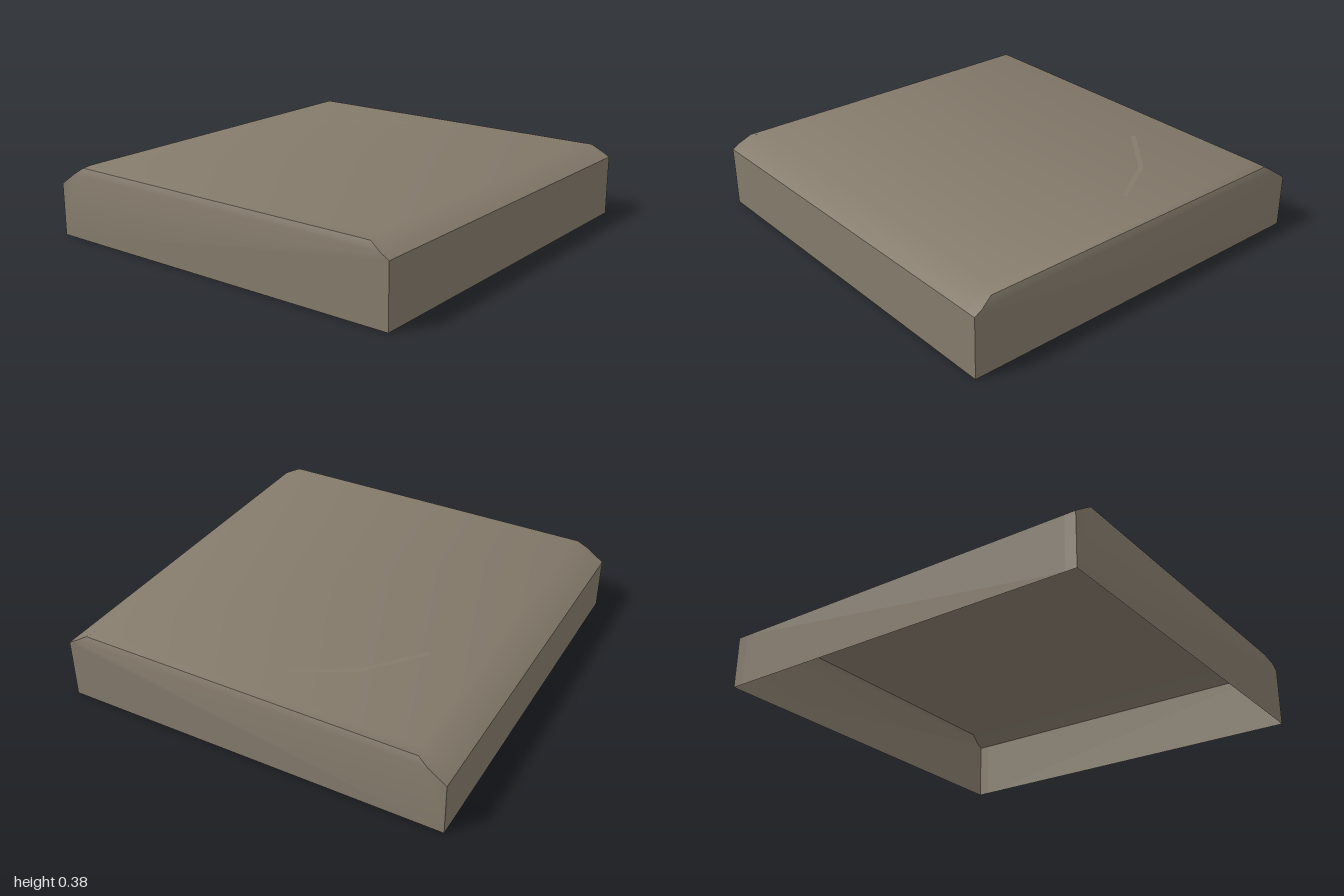
import * as THREE from 'three';
import { toCreasedNormals } from 'three/addons/utils/BufferGeometryUtils.js';

const stone = new THREE.MeshStandardMaterial({ color: 0x857b6c, side: THREE.DoubleSide });
stone.name = 'stone';

// Cross-section at depth z: two end slopes cut off by a flat top at height y
function section(z, y) {
  const left = -1 + (y - 0.27) * (0.16 / 0.11);
  const right = 1 - (y - 0.31) * (0.12 / 0.07);
  return [[-1, 0, z], [-1, 0.27, z], [left, y, z], [right, y, z], [1, 0.31, z], [1, 0, z]];
}

// Hollow slab, open underneath, with chipped front and back rims
function slabGeometry() {
  const rows = [[1, 0.335], [0.985, 0.37], [0.945, 0.38], [-0.94, 0.38], [-0.985, 0.368], [-1, 0.332]]
    .map(([z, y]) => section(z, y));
  const pos = [];
  const tri = (a, b, c) => pos.push(...a, ...b, ...c);
  const quad = (a, b, c, d) => { tri(a, b, c); tri(a, c, d); };

  // Side walls, end slopes and top
  for (let r = 0; r < rows.length - 1; r++) {
    for (let i = 0; i < 5; i++) {
      const a = rows[r][i], b = rows[r][i + 1], c = rows[r + 1][i + 1], d = rows[r + 1][i];
      quad(a, b, c, d);
    }
  }
  // Front and back walls
  const f = rows[0], k = rows[rows.length - 1];
  for (let i = 1; i < 5; i++) {
    tri(f[0], f[i + 1], f[i]);
    tri(k[0], k[i], k[i + 1]);
  }
  const geo = new THREE.BufferGeometry();
  geo.setAttribute('position', new THREE.Float32BufferAttribute(pos, 3));
  return toCreasedNormals(geo, 0.72);
}

// Narrow bent scratch lying on the top
function scratchGeometry() {
  const s = new THREE.Shape([
    [-0.605, 0.345], [-0.585, 0.33], [-0.365, 0.595], [-0.09, 0.755],
    [-0.1, 0.775], [-0.38, 0.615],
  ].map(([x, y]) => new THREE.Vector2(x, y)));
  return new THREE.ShapeGeometry(s).rotateX(-Math.PI / 2).translate(0, 0.381, 0);
}

export function createModel() {
  const group = new THREE.Group();
  group.name = 'stoneSlab';
  const add = (name, geo) => {
    const mesh = new THREE.Mesh(geo, stone);
    mesh.name = name;
    group.add(mesh);
  };
  add('slab', slabGeometry());
  add('scratch', scratchGeometry());
  return group;
}
